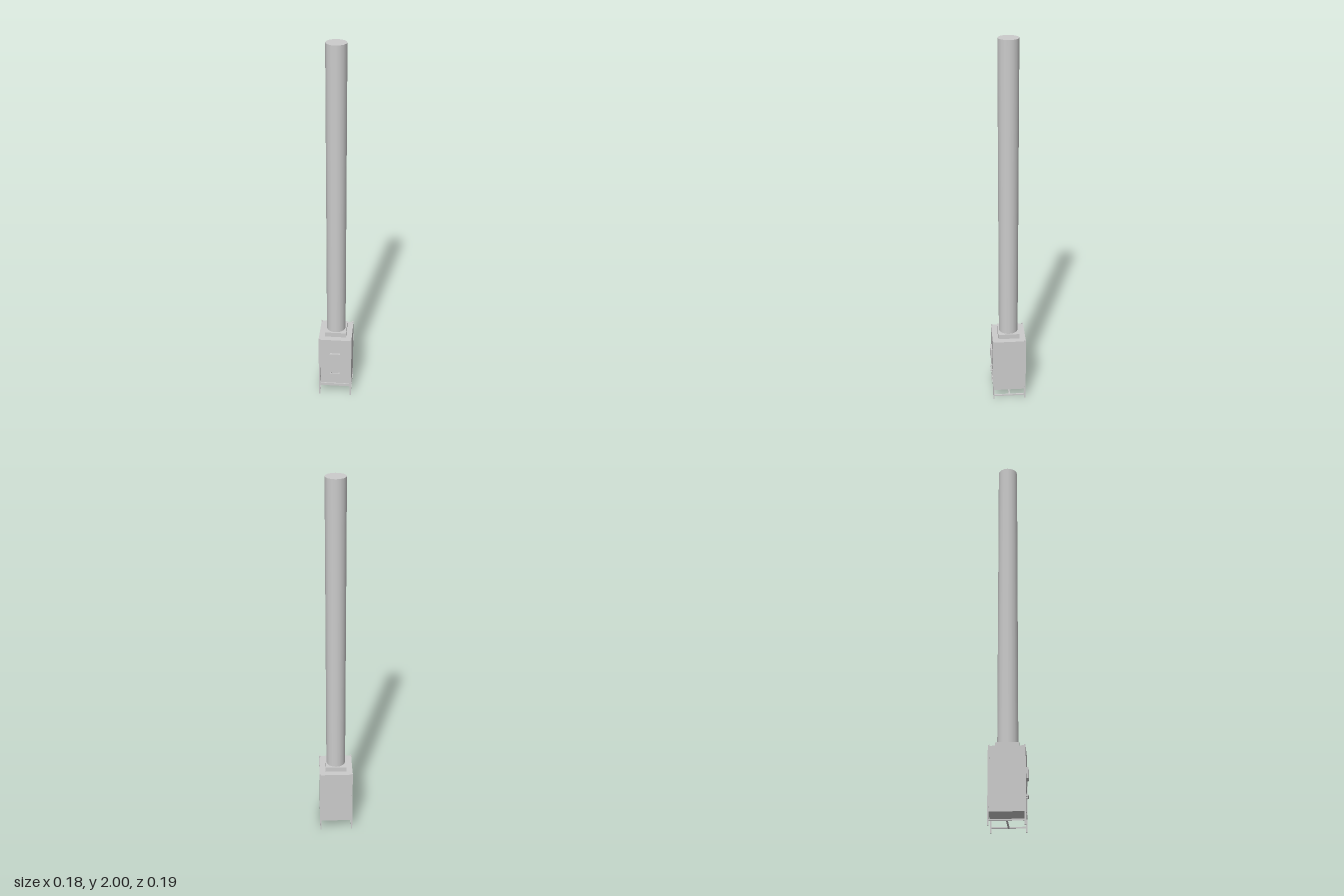
import * as THREE from 'three';

export function createModel() {
  const group = new THREE.Group();
  const mat = new THREE.MeshStandardMaterial({ color: 0xcccccc });
  const cz = -0.006; // stove body centre in z
  const half = 0.09; // half width of the body

  const add = (name, geometry, x, y, z) => {
    const mesh = new THREE.Mesh(geometry, mat);
    mesh.name = name;
    mesh.position.set(x, y, z);
    group.add(mesh);
    return mesh;
  };
  // box given by its size, centre x and z, and bottom height
  const box = (name, w, h, d, x, y, z) =>
    add(name, new THREE.BoxGeometry(w, h, d), x, y + h / 2, z);

  // firebox, with a front plate cut out for the ash drawer
  const bottom = 0.062, top = 0.376, plate = 0.008, w = half - 0.0005;
  box('firebox', 2 * w, top - bottom, 2 * w - plate, 0, bottom, cz - plate / 2);
  const rect = (Type, x, y0, y1) => {
    const p = new Type();
    p.moveTo(-x, y0);
    p.lineTo(x, y0);
    p.lineTo(x, y1);
    p.lineTo(-x, y1);
    p.closePath();
    return p;
  };
  const front = rect(THREE.Shape, w, bottom, top);
  front.holes.push(rect(THREE.Path, 0.08, 0.078, 0.187));
  add('frontPlate', new THREE.ExtrudeGeometry(front, { depth: plate, bevelEnabled: false }),
    0, 0, cz + w - plate);

  // ash drawer set back in its opening, with a bar handle
  const face = cz + half;
  box('ashDrawer', 0.156, 0.106, 0.004, 0, 0.0795, face - plate + 0.002);
  box('drawerHandle', 0.052, 0.007, 0.004, 0, 0.147, face + 0.008);
  for (const s of [-1, 1]) box('handlePost', 0.005, 0.007, 0.014, s * 0.0235, 0.147, face);

  // fuel door
  box('fuelDoor', 0.056, 0.055, 0.011, 0, 0.233, face + 0.0045);

  // corner posts running from the floor to just above the firebox
  const post = 0.0075, reach = half - post / 2;
  for (const sx of [-1, 1])
    for (const sz of [-1, 1])
      box('cornerPost', post, 0.381, post, sx * reach, 0, cz + sz * reach);

  // stretchers: one along each side, joined by a crossbar
  for (const sx of [-1, 1])
    box('sideStretcher', post, post, 2 * reach, sx * reach, 0.02, cz);
  box('crossStretcher', 2 * reach, post, post, 0, 0.02, cz);

  // flue collar and chimney pipe
  box('flueCollar', 0.116, 0.028, 0.116, 0, 0.375, cz);
  add('chimneyPipe', new THREE.CylinderGeometry(0.0515, 0.0515, 1.6, 16), 0, 1.2, cz);

  return group;
}
